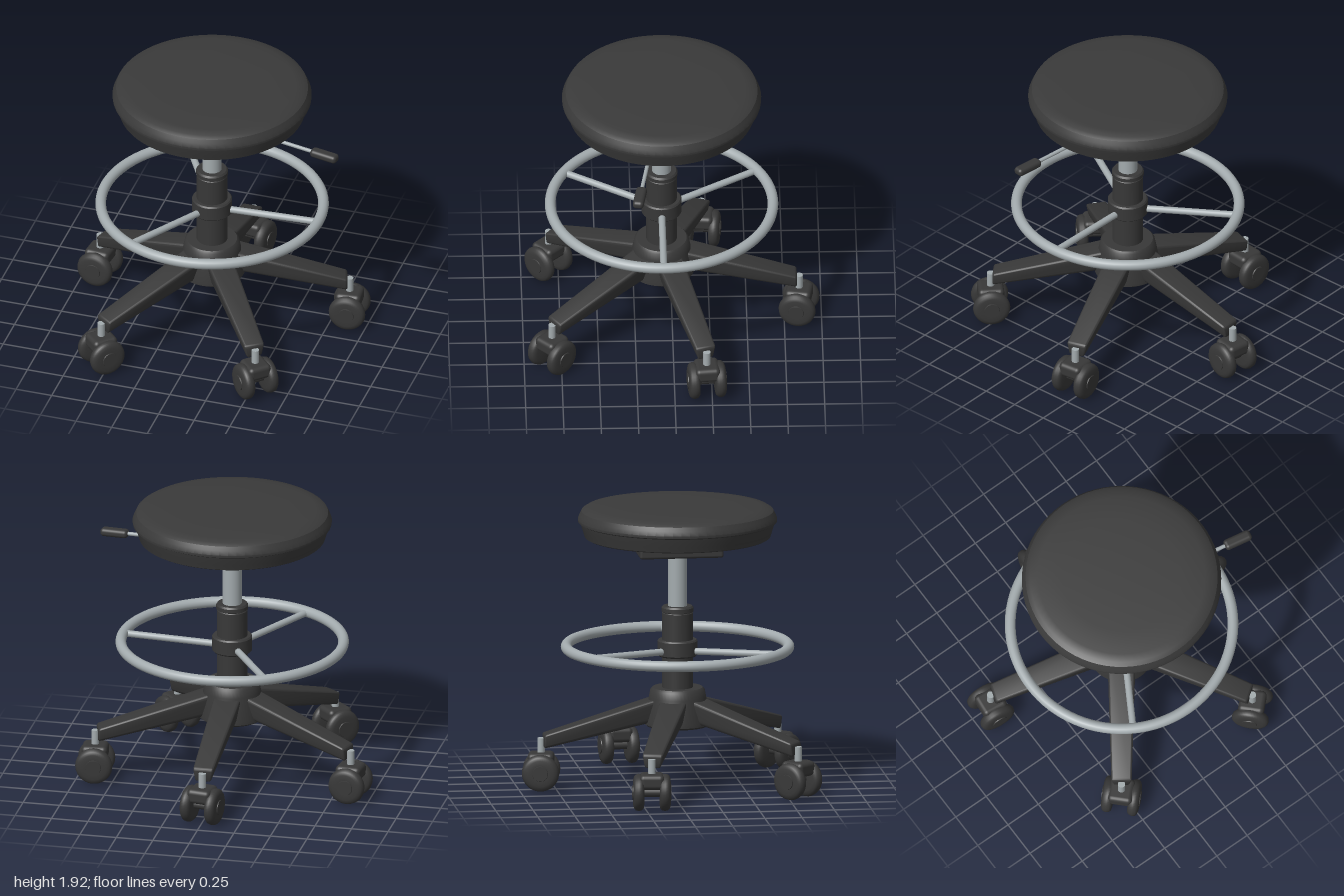
import * as THREE from 'three';
import { toCreasedNormals } from 'three/addons/utils/BufferGeometryUtils.js';
import { RoundedBoxGeometry } from 'three/addons/geometries/RoundedBoxGeometry.js';

const rad = THREE.MathUtils.degToRad;
const lerp = THREE.MathUtils.lerp;

export function createModel() {
  const upholstery = new THREE.MeshStandardMaterial({ color: 0x3a3a3a });
  upholstery.name = 'charcoal upholstery';
  const plastic = new THREE.MeshStandardMaterial({ color: 0x383838 });
  plastic.name = 'black plastic';
  const steel = new THREE.MeshStandardMaterial({ color: 0xa3abae });
  steel.name = 'brushed steel';

  const model = new THREE.Group();
  model.name = 'draftingStool';
  const stool = new THREE.Group();
  stool.name = 'stool';
  stool.position.z = 0.07;
  model.add(stool);

  const add = (parent, name, geometry, material, x = 0, y = 0, z = 0) => {
    const mesh = new THREE.Mesh(geometry, material);
    mesh.name = name;
    mesh.position.set(x, y, z);
    parent.add(mesh);
    return mesh;
  };
  // Turned part: [radius, height] pairs from bottom to top
  const lathe = (points, segments = 48, crease = 0.6) => toCreasedNormals(
    new THREE.LatheGeometry(points.map(p => new THREE.Vector2(p[0], p[1])), segments), crease);
  // Straight rod between two points
  const rod = (parent, name, a, b, radius, material) => {
    const from = new THREE.Vector3(...a), dir = new THREE.Vector3(...b).sub(from);
    const mesh = add(parent, name, new THREE.CylinderGeometry(radius, radius, dir.length(), 20), material);
    mesh.position.copy(from).addScaledVector(dir, 0.5);
    mesh.quaternion.setFromUnitVectors(new THREE.Vector3(0, 1, 0), dir.normalize());
    return mesh;
  };

  // Round cushion with a seam around its widest line
  add(stool, 'seatCushion', lathe([
    [0, 1.695], [0.61, 1.695], [0.622, 1.702], [0.632, 1.735], [0.645, 1.775],
    [0.65, 1.795], [0.665, 1.803], [0.667, 1.82], [0.655, 1.85], [0.642, 1.876],
    [0.615, 1.893], [0.56, 1.902], [0.4, 1.911], [0.2, 1.915], [0, 1.917],
  ], 72, 0.5), upholstery);

  // Tilt mechanism and height lever
  add(stool, 'mechanismHousing', new RoundedBoxGeometry(0.475, 0.115, 0.565, 3, 0.018), plastic, 0, 1.645, 0);
  rod(stool, 'leverRod', [0.15, 1.628, 0.05], [0.78, 1.603, 0.153], 0.013, steel);
  const grip = add(stool, 'leverGrip', new RoundedBoxGeometry(0.195, 0.056, 0.074, 4, 0.024), plastic, 0.84, 1.6, 0.163);
  grip.rotation.set(0, -rad(9.5), -rad(2));

  // Central column
  add(stool, 'gasLift', new THREE.CylinderGeometry(0.064, 0.064, 0.42, 40), steel, 0, 1.4, 0);
  add(stool, 'columnSleeve', lathe([
    [0, 0.62], [0.103, 0.62], [0.103, 1.18], [0.099, 1.185], [0.107, 1.19],
    [0.107, 1.216], [0.098, 1.228], [0, 1.228],
  ]), plastic);

  // Foot ring with three spokes
  const ring = add(stool, 'footRing', new THREE.TorusGeometry(0.745, 0.036, 18, 96), steel, 0, 0.95, 0);
  ring.rotation.x = Math.PI / 2;
  add(stool, 'footRingCollar', lathe([
    [0, 0.887], [0.124, 0.887], [0.134, 0.897], [0.134, 0.99], [0.126, 1], [0, 1],
  ]), plastic);
  for (const degrees of [0, 120, 240]) {
    const c = Math.cos(rad(degrees)), s = Math.sin(rad(degrees));
    rod(stool, 'footRingSpoke', [0.1 * c, 0.925, 0.1 * s], [0.74 * c, 0.948, 0.74 * s], 0.023, steel);
  }

  // Base hub
  add(stool, 'baseHub', lathe([
    [0, 0.415], [0.205, 0.415], [0.222, 0.428], [0.222, 0.45], [0.192, 0.61],
    [0.182, 0.66], [0.168, 0.675], [0, 0.675],
  ]), plastic);

  // Leg: a rounded bar that slopes down and tapers outwards and underneath
  const legGeometry = () => {
    const g = new RoundedBoxGeometry(1, 0.1, 0.16, 3, 0.018);
    const p = g.attributes.position;
    for (let i = 0; i < p.count; i++) {
      const t = p.getX(i) + 0.5, v = p.getY(i) / 0.1 + 0.5, w = p.getZ(i) / 0.16;
      p.setXYZ(i, lerp(0.06, 0.905, t),
        lerp(lerp(0.475, 0.283, t), lerp(0.635, 0.375, t), v),
        w * lerp(0.2, 0.142, t) * lerp(0.74, 1, v));
    }
    return toCreasedNormals(g, 0.6);
  };
  const leg = legGeometry();

  // Wheel with rounded tread and a raised round cap on its outer face
  const wheel = lathe([
    [0, -0.036], [0.085, -0.036], [0.108, -0.032], [0.12, -0.02], [0.125, 0],
    [0.12, 0.02], [0.108, 0.031], [0.088, 0.037], [0.052, 0.037], [0.05, 0.043], [0, 0.043],
  ], 40, 0.65);
  const hood = new RoundedBoxGeometry(0.175, 0.1, 0.165, 3, 0.03);
  const pin = new THREE.CylinderGeometry(0.025, 0.025, 0.13, 20);
  const axle = new THREE.CylinderGeometry(0.03, 0.03, 0.12, 20);

  const casterAngles = [-6, 45, 135, 186, 280];
  [-18, 54, 126, 198, 270].forEach((degrees, i) => {
    const a = rad(degrees);
    add(stool, 'leg', leg, plastic).rotation.y = -a;

    // Twin-wheel caster, each swivelled its own way
    const caster = new THREE.Group();
    caster.name = 'caster';
    caster.position.set(0.92 * Math.cos(a), 0, 0.92 * Math.sin(a));
    caster.rotation.y = -rad(casterAngles[i]);
    stool.add(caster);
    add(caster, 'casterPin', pin, steel, 0, 0.285, 0);
    add(caster, 'casterHood', hood, plastic, 0, 0.203, 0);
    add(caster, 'casterAxle', axle, plastic, 0, 0.125, 0).rotation.x = Math.PI / 2;
    for (const side of [-1, 1]) {
      add(caster, 'casterWheel', wheel, plastic, 0, 0.125, side * 0.088).rotation.x = side * Math.PI / 2;
    }
  });

  return model;
}
